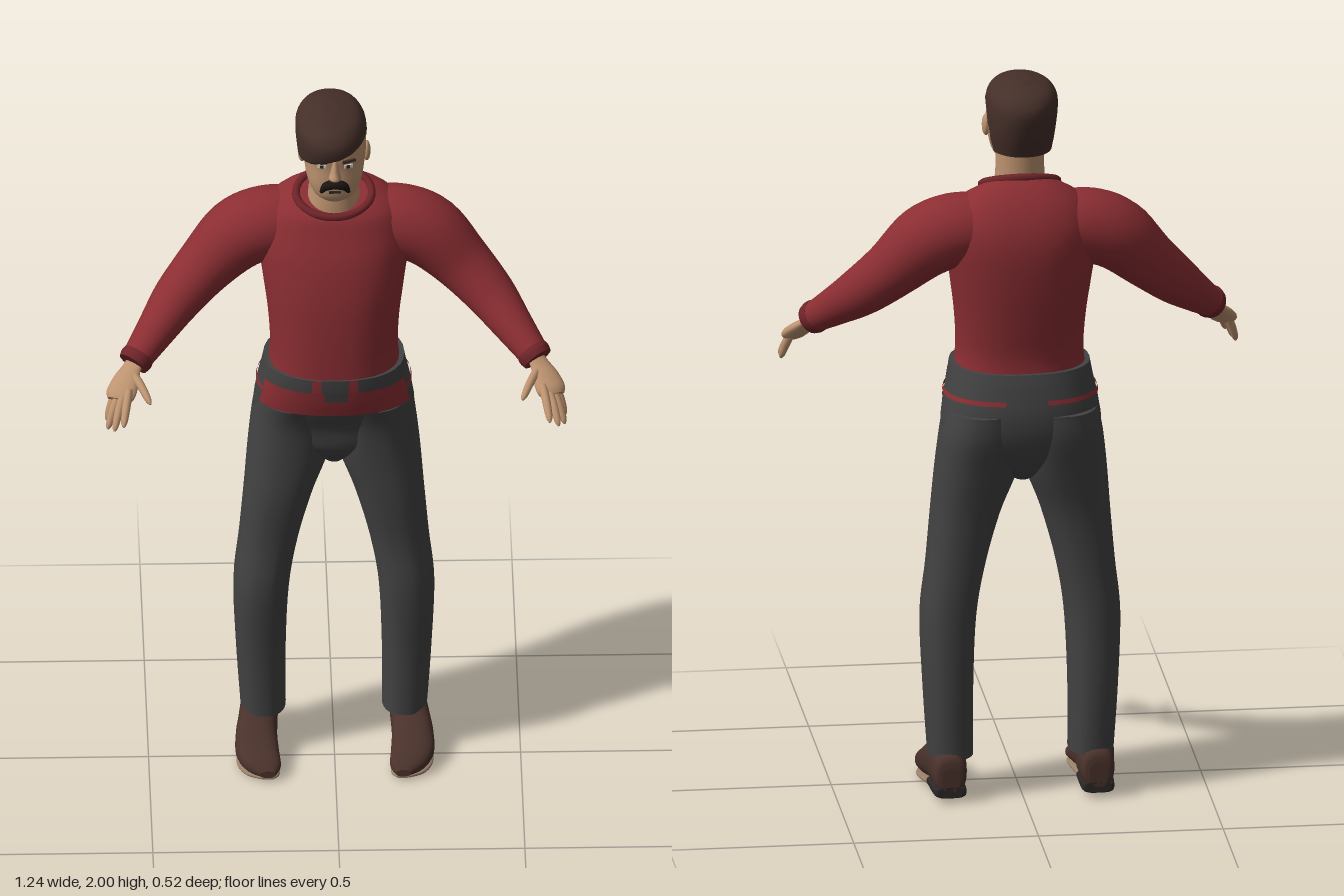
import * as THREE from 'three';

const V = (x, y, z) => new THREE.Vector3(x, y, z);
const mat = (name, color, side = THREE.FrontSide) => {
  const m = new THREE.MeshStandardMaterial({ color, side });
  m.name = name;
  return m;
};

// Skin a stack of rings; rings run counter-clockwise around the stacking direction
function skin(rings, closed = true, caps = true) {
  const pos = [], idx = [], n = rings[0].length;
  rings.forEach(r => r.forEach(p => pos.push(p.x, p.y, p.z)));
  for (let i = 0; i < rings.length - 1; i++)
    for (let j = 0; j < (closed ? n : n - 1); j++) {
      const a = i * n + j, b = i * n + (j + 1) % n;
      idx.push(a, b, a + n, b, b + n, a + n);
    }
  if (caps) [rings[0], rings[rings.length - 1]].forEach((r, end) => {
    const base = pos.length / 3, c = V(0, 0, 0);
    r.forEach(p => { pos.push(p.x, p.y, p.z); c.addScaledVector(p, 1 / n); });
    pos.push(c.x, c.y, c.z);
    for (let j = 0; j < n; j++) {
      const a = base + j, b = base + (j + 1) % n;
      idx.push(...(end ? [a, b, base + n] : [b, a, base + n]));
    }
  });
  const g = new THREE.BufferGeometry();
  g.setAttribute('position', new THREE.Float32BufferAttribute(pos, 3));
  g.setIndex(idx);
  g.computeVertexNormals();
  return g;
}

// Catmull-Rom resampling of section tables
function resample(rows, sub) {
  const out = [], last = rows.length - 1, at = i => rows[Math.min(last, Math.max(0, i))];
  for (let k = 0; k <= last * sub; k++) {
    const i = Math.min(last - 1, Math.floor(k / sub)), t = k / sub - i;
    out.push(at(i).map((_, c) => {
      const [p, q, r, s] = [at(i - 1)[c], at(i)[c], at(i + 1)[c], at(i + 2)[c]];
      return q + 0.5 * t * (r - p + t * (2 * p - 5 * q + 4 * r - s + t * (3 * (q - r) + s - p)));
    }));
  }
  return out;
}

// Section: [y, centre x, front z, back z, half width, front/back tilt]
function loft(sections, { from = 0, to = Math.PI * 2, grow = 0, sub = 5, seg = 32, n = 2.35, warp, caps = true } = {}) {
  const closed = to - from > 6.28, pw = v => Math.sign(v) * Math.abs(v) ** (2 / n);
  const rings = resample(sections, sub).map(([y, cx, zf, zb, w, tilt]) =>
    Array.from({ length: closed ? seg : seg + 1 }, (_, j) => {
      const t = from + (to - from) * j / seg, s = pw(Math.sin(t)), c = pw(Math.cos(t));
      const p = V(cx + s * (w + grow), y + c * tilt, (zf + zb) / 2 + c * ((zf - zb) / 2 + grow));
      if (warp) p.y = Math.max(p.y, warp(t));
      return p;
    }));
  return skin(rings, closed, closed && caps);
}

// Round limb through points [x, y, z, radius]
function limb(points, { flat = 1, sub = 5, seg = 16 } = {}) {
  const rows = resample(points, sub);
  return skin(rows.map(([x, y, z, r], i) => {
    const a = rows[Math.max(0, i - 1)], b = rows[Math.min(rows.length - 1, i + 1)];
    const T = V(b[0] - a[0], b[1] - a[1], b[2] - a[2]).normalize();
    const N = T.clone().cross(V(0, 1, 0)).normalize(), B = T.clone().cross(N);
    return Array.from({ length: seg }, (_, j) => {
      const t = j / seg * Math.PI * 2;
      return V(x, y, z).addScaledVector(N, r * Math.cos(t)).addScaledVector(B, r * flat * Math.sin(t));
    });
  }));
}

export function createModel() {
  const group = new THREE.Group();
  const red = mat('sweaterRed', 0x8b2e33, THREE.DoubleSide), trim = mat('sweaterTrim', 0x6f2429);
  const grey = mat('trouserGrey', 0x424242, THREE.DoubleSide), skinTone = mat('skin', 0xbd9370);
  const brown = mat('hairBrown', 0x452f29, THREE.DoubleSide), leather = mat('shoeLeather', 0x4a322b);
  const black = mat('moustacheBlack', 0x1c1615), tan = mat('soleTan', 0x9a8069);
  const dark = mat('heelDark', 0x2b2727), white = mat('eyeWhite', 0xcfc6bc);
  const add = (name, geo, m) => {
    const mesh = new THREE.Mesh(geo, m);
    mesh.name = name;
    group.add(mesh);
    return mesh;
  };

  // Sweater body and collar
  add('sweaterBody', loft([
    [1.17, 0, .07, -.225, .183, 0], [1.25, 0, .07, -.22, .172, 0], [1.35, 0, .068, -.235, .177, 0],
    [1.45, 0, .06, -.25, .19, 0], [1.55, 0, .04, -.258, .203, 0], [1.62, 0, .015, -.25, .2, 0],
    [1.67, 0, 0, -.225, .178, -.01], [1.7, 0, -.01, -.19, .142, -.024], [1.715, 0, -.012, -.155, .1, -.035],
  ]), red);
  const ring = Array.from({ length: 16 }, (_, i) => {
    const t = i / 16 * Math.PI * 2;
    return V(.102 * Math.sin(t), 1.714 - .036 * Math.cos(t), -.083 + .071 * Math.cos(t));
  });
  add('collar', new THREE.TubeGeometry(new THREE.CatmullRomCurve3(ring, true), 48, .011, 8, true), trim);

  // Trouser seat and waistband, with the sweater hem over the front
  const hips = [
    [.9, 0, -.03, -.17, .03, 0], [.96, 0, .012, -.222, .15, 0], [1.03, 0, .025, -.25, .212, 0],
    [1.1, 0, .055, -.257, .211, 0], [1.17, 0, .072, -.245, .197, 0], [1.215, 0, .076, -.232, .189, 0],
  ];
  add('trouserSeat', loft(hips), grey);
  const hipBand = (y0, y1, opt) => {
    const rows = resample(hips, 20), near = y => rows.reduce((a, b) => Math.abs(b[0] - y) < Math.abs(a[0] - y) ? b : a);
    return loft([y0, (y0 + y1) / 2, y1].map(y => [y, ...near(y).slice(1)]), { sub: 2, ...opt });
  };
  add('sweaterHem', hipBand(1.1, 1.178, { from: -1.15, to: 1.15, grow: .006 }), red);
  add('hemEdge', hipBand(1.1, 1.108, { from: -1.15, to: 1.15, grow: .009 }), red);
  add('waistPatch', hipBand(1.15, 1.18, { from: -.1, to: .12, grow: .009, seg: 6 }), grey);
  for (const s of [-1, 1]) {
    add('hemGap', hipBand(1.17, 1.218, { from: s * .2 - .06, to: s * .2 + .06, grow: .005, seg: 6 }), red);
    const mid = Math.PI + s * 1.1;
    add('hemStrip', hipBand(1.134, 1.146, { from: mid - .88, to: mid + .88, grow: .004 }), red);
  }

  // Neck, head, nose
  add('neck', loft([[1.63, 0, -.02, -.15, .085, 0], [1.7, 0, -.022, -.148, .072, 0],
    [1.76, 0, -.025, -.148, .066, 0], [1.84, 0, -.02, -.15, .066, 0]], { n: 2 }), skinTone);
  add('head', loft([
    [1.753, 0, .03, -.03, .03, 0], [1.772, 0, .045, -.06, .056, 0], [1.81, 0, .052, -.1, .074, 0],
    [1.86, 0, .052, -.14, .083, 0], [1.9, 0, .056, -.16, .086, 0], [1.95, 0, .05, -.15, .078, 0],
    [1.975, 0, .02, -.12, .05, 0]]), skinTone);
  add('nose', loft([[1.832, 0, .062, .03, .012, 0], [1.842, 0, .077, .03, .017, 0],
    [1.86, 0, .07, .03, .012, 0], [1.892, 0, .057, .03, .008, 0]], { n: 2, seg: 16 }), skinTone);

  // Swept hair with a lower edge that rises over the face and ears
  const edge = t => {
    const back = THREE.MathUtils.smoothstep(-Math.cos(t), -.1, .4);
    return THREE.MathUtils.lerp(1.905 + .035 * Math.sin(t), 1.81, back);
  };
  add('hair', loft([
    [1.81, -.006, .062, -.165, .084, 0], [1.87, -.006, .072, -.19, .092, 0], [1.93, -.008, .088, -.205, .096, 0],
    [1.965, -.01, .08, -.196, .09, 0], [1.988, -.01, .05, -.165, .066, 0], [2, -.01, -.01, -.09, .018, 0],
  ], { warp: edge, seg: 48, n: 2.2, caps: false }), brown);
  add('crown', loft([[1.985, -.01, .02, -.13, .04, 0], [1.999, -.01, 0, -.11, .02, 0]], { sub: 2 }), brown);

  // Moustache, mouth, eyes and brows
  add('moustache', limb([[-.037, 1.793, .046, .005], [-.024, 1.815, .054, .012], [0, 1.823, .059, .013],
    [.024, 1.815, .054, .012], [.037, 1.793, .046, .005]]), black);
  const mouth = add('mouth', new THREE.BoxGeometry(.032, .007, .008), dark);
  mouth.position.set(0, 1.794, .048);
  const faceBox = (name, s, w, h, x, y, z, m) => {
    const b = add(name, new THREE.BoxGeometry(w, h, .006), m);
    b.position.set(s * x, y, z);
    b.rotation.set(0, s * .25, name === 'brow' ? s * .12 : 0);
  };

  for (const s of [-1, 1]) {
    faceBox('eyeWhite', s, .024, .009, .036, 1.876, .05, white);
    faceBox('pupil', s, .009, .009, .035, 1.876, .052, dark);
    faceBox('brow', s, .036, .008, .038, 1.893, .053, brown);
    const ear = add('ear', new THREE.SphereGeometry(1, 16, 12), skinTone);
    ear.scale.set(.011, .03, .02);
    ear.position.set(s * .087, 1.868, -.045);

    // Sleeve and cuff
    const arm = pts => pts.map(([x, ...rest]) => [x * s, ...rest]);
    add('sleeve', limb(arm([[.1, 1.605, -.125, .092], [.18, 1.6, -.122, .1], [.26, 1.566, -.115, .098],
      [.345, 1.485, -.092, .08], [.42, 1.412, -.045, .068], [.48, 1.352, .02, .054], [.542, 1.292, .092, .04]]),
      { seg: 28 }), red);
    add('cuff', limb(arm([[.528, 1.306, .076, .044], [.535, 1.299, .084, .046], [.544, 1.29, .094, .042]]), { seg: 24 }), trim);

    // Hand
    add('palm', limb(arm([[.53, 1.302, .078, .026], [.548, 1.28, .102, .028], [.563, 1.258, .128, .038],
      [.578, 1.234, .158, .042], [.585, 1.222, .172, .032]]), { flat: .48 }), skinTone);
    const fingers = [
      [[.559, 1.238, .18], [.573, 1.19, .26]], [[.576, 1.226, .179], [.597, 1.168, .243]],
      [[.589, 1.22, .166], [.614, 1.154, .208]], [[.594, 1.224, .146], [.616, 1.158, .168]],
      [[.54, 1.268, .125], [.5, 1.236, .218]],
    ];
    fingers.forEach(([a, b], i) => {
      const at = (t, r, lift) => [0, 1, 2].map(k => a[k] + (b[k] - a[k]) * t + (k === 1 ? lift : 0)).concat(r);
      add(i === 4 ? 'thumb' : 'finger', limb(arm([at(-.2, .011, 0), at(.4, .0115, .006),
        at(.85, .009, .003), at(1, .003, 0)]), { sub: 4, seg: 10 }), skinTone);
    });

    // Trouser leg
    add('trouserLeg', loft([
      [.115, .19, -.008, -.182, .061, 0], [.3, .196, 0, -.19, .067, 0], [.5, .195, .017, -.19, .075, 0],
      [.65, .175, .01, -.19, .08, 0], [.8, .148, .018, -.2, .094, 0], [.92, .121, .02, -.225, .111, 0],
      [1.03, .108, .028, -.252, .111, 0], [1.1, .1, .05, -.255, .105, 0],
    ].map(r => [r[0], r[1] * s, ...r.slice(2)])), grey);

    // Shoe, sole and heel: sections [z, centre x, bottom, top, half width] lofted along z
    const along = (rows, n) => loft(rows.map(([z, cx, lo, hi, w]) => [z, cx * s, -lo, -hi, w, 0]), { n }).rotateX(Math.PI / 2);
    add('shoe', along([
      [-.2, .2, .03, .1, .025], [-.188, .2, .025, .13, .043], [-.12, .2, .022, .145, .05],
      [-.05, .205, .02, .138, .053], [0, .21, .014, .108, .056], [.06, .208, .01, .076, .058],
      [.11, .195, .008, .055, .048], [.14, .182, .012, .032, .02]], 2.4), leather);
    add('sole', along([[-.08, .205, .012, .03, .042], [0, .21, .004, .02, .052], [.06, .208, 0, .016, .055],
      [.11, .195, 0, .014, .045], [.138, .182, .006, .014, .018]], 3), tan);
    add('heel', along([[-.2, .2, .016, .045, .03], [-.185, .2, .013, .045, .044], [-.075, .203, .013, .04, .048]], 3.5), dark);
  }
  return group;
}
